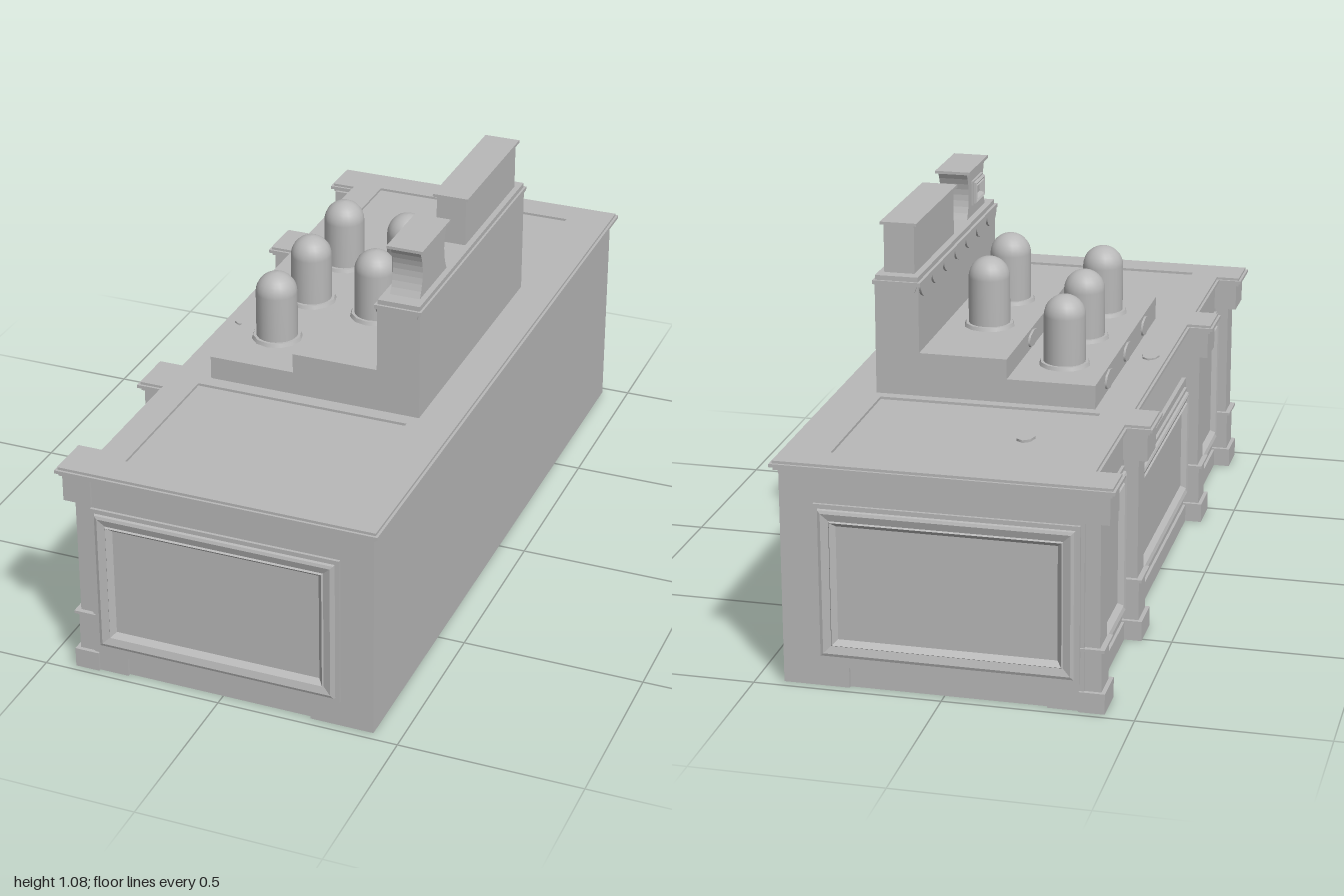
import * as THREE from 'three';

const grey = new THREE.MeshStandardMaterial({ color: 0xb8b8b8 });
grey.name = 'plain grey';

export function createModel() {
  const model = new THREE.Group();
  model.name = 'shopCounter';

  const add = (name, geo) => {
    const m = new THREE.Mesh(geo, grey);
    m.name = name;
    model.add(m);
    return m;
  };
  // Box given by its limits on each axis
  const box = (name, x0, x1, y0, y1, z0, z1) => {
    const m = add(name, new THREE.BoxGeometry(x1 - x0, y1 - y0, z1 - z0));
    m.position.set((x0 + x1) / 2, (y0 + y1) / 2, (z0 + z1) / 2);
    return m;
  };

  // Moulded panel facing +z: nested rectangles following [inset, depth] steps
  const moulding = [[0, 0], [0, 0.008], [0.012, 0.008], [0.014, 0.015], [0.022, 0.018],
    [0.042, 0.012], [0.045, 0.017], [0.058, 0.002]];
  const panel = (name, w, h, scale = 1) => {
    const rings = moulding.map(([i, d]) => {
      const a = w / 2 - i * scale, b = h / 2 - i * scale;
      return [[-a, -b, d], [a, -b, d], [a, b, d], [-a, b, d]];
    });
    const pos = [];
    const quad = (a, b, c, d) => pos.push(...a, ...b, ...c, ...a, ...c, ...d);
    for (let r = 0; r + 1 < rings.length; r++) {
      for (let k = 0; k < 4; k++) {
        const n = (k + 1) % 4;
        quad(rings[r][k], rings[r][n], rings[r + 1][n], rings[r + 1][k]);
      }
    }
    quad(...rings[rings.length - 1]);
    const geo = new THREE.BufferGeometry();
    geo.setAttribute('position', new THREE.Float32BufferAttribute(pos, 3));
    geo.computeVertexNormals();
    return add(name, geo);
  };

  // Hollow body: plain long wall and two panelled ends
  box('longWall', 0.413, 0.425, 0, 0.59, -0.975, 0.975);
  for (const s of [1, -1]) {
    const end = (name, x0, x1, y0, y1, out) =>
      box(name, x0, x1, y0, y1, Math.min(s * 0.955, s * out), Math.max(s * 0.955, s * out));
    end('endWall', -0.365, 0.424, 0.055, 0.59, 0.975);
    end('endFoot', -0.365, -0.27, 0, 0.055, 0.975);
    end('endFoot', 0.25, 0.424, 0, 0.055, 0.975);
    end('endKickBoard', -0.27, 0.25, 0, 0.055, 0.966);
    const p = panel('endPanel', 0.69, 0.425);
    p.position.set(-0.01, 0.288, s * 0.975);
    if (s < 0) p.rotation.y = Math.PI;
  }

  // Serving side: three panelled bays, the middle one open above
  for (const [z0, z1, top, p0, p1] of [[-0.9, -0.5, 0.59, 0.085, 0.5],
    [-0.42, 0.4, 0.44, 0.085, 0.42], [0.475, 0.9, 0.59, 0.085, 0.5]]) {
    box('bayWall', -0.365, -0.353, 0, top, z0, z1);
    box('baySkirting', -0.373, -0.36, 0, 0.05, z0, z1);
    const p = panel('bayPanel', z1 - z0 - 0.06, p1 - p0, 0.8);
    p.position.set(-0.365, (p0 + p1) / 2, (z0 + z1) / 2);
    p.rotation.y = -Math.PI / 2;
  }

  // Pilasters with base, collar and capital
  for (const z of [-0.927, -0.457, 0.437, 0.927]) {
    const block = (name, x, y0, y1, half) => box(name, x, -0.352, y0, y1, z - half, z + half);
    block('pilasterBase', -0.42, 0, 0.055, 0.055);
    block('pilasterFoot', -0.409, 0.055, 0.165, 0.044);
    block('pilasterCollar', -0.418, 0.165, 0.173, 0.053);
    block('pilasterShaft', -0.404, 0.173, 0.51, 0.04);
    block('pilasterCapital', -0.43, 0.51, 0.588, 0.056);
  }

  // Worktop outline, stepping out over each pilaster
  const outline = (o) => {
    const pts = [[0.435 + o, 0.99 + o], [0.435 + o, -0.99 - o]];
    const bumps = [[-0.99, -0.88], [-0.52, -0.395], [0.375, 0.5], [0.87, 0.99]];
    bumps.forEach(([a, b], i) => {
      const xi = -0.37 - o, xo = -0.437 - o;
      if (i > 0) pts.push([xi, a - o]);
      pts.push([xo, a - o], [xo, b + o]);
      if (i < 3) pts.push([xi, b + o]);
    });
    return new THREE.Shape(pts.map(([x, z]) => new THREE.Vector2(x, -z)));
  };
  const slab = (name, shape, y0, y1) => {
    const geo = new THREE.ExtrudeGeometry(shape, { depth: y1 - y0, bevelEnabled: false });
    geo.rotateX(-Math.PI / 2);
    add(name, geo).position.y = y0;
  };
  slab('worktopMoulding', outline(0), 0.585, 0.594);
  slab('worktopEdge', outline(0.008), 0.594, 0.603);
  const surface = outline(0.001);
  // Shallow trays sunk in the worktop beside the display
  for (const s of [1, -1]) {
    surface.holes.push(new THREE.Path([[-0.29, 0.45], [0.31, 0.45], [0.31, 0.9], [-0.29, 0.9]]
      .map(([x, z]) => new THREE.Vector2(x, s * z))));
  }
  slab('worktopSurface', surface, 0.603, 0.61);

  // Rounded hatches on the worktop
  for (const [x, y, z] of [[-0.325, 0.608, 0.06], [-0.14, 0.603, -0.66]]) {
    const hatch = add('worktopHatch', new THREE.CylinderGeometry(0.025, 0.025, 0.007, 8));
    hatch.scale.z = 1.6;
    hatch.position.set(x, y + 0.0035, z);
  }

  // Stepped display
  box('lowerStep', -0.27, -0.03, 0.6, 0.675, -0.42, 0.41);
  box('middleStep', -0.03, 0.21, 0.6, 0.73, -0.42, 0.41);
  box('backStep', 0.21, 0.33, 0.6, 0.92, -0.42, 0.41);
  box('cornice', 0.204, 0.335, 0.914, 0.925, -0.425, 0.417);
  box('corniceCap', 0.212, 0.329, 0.925, 0.938, -0.418, 0.41);

  // Labels on the step fronts
  const label = (x, y, z, r, wide) => {
    const m = add('stepLabel', new THREE.CylinderGeometry(r, r, 0.008, 8));
    m.rotation.z = Math.PI / 2;
    m.scale.z = wide;
    m.position.set(x, y, z);
  };
  for (const z of [-0.255, -0.01, 0.235]) label(-0.272, 0.642, z, 0.026, 1.9);
  for (const z of [-0.13, 0.115]) label(-0.032, 0.702, z, 0.022, 2.4);

  // Scalloped trim under the cornice
  const scallop = (x, z, r, turn) => {
    const geo = new THREE.CylinderGeometry(r, r, 0.008, 16, 1, false, -Math.PI / 2, Math.PI);
    geo.rotateX(Math.PI / 2);
    geo.scale(1, 0.72, 1);
    const m = add('scallop', geo);
    m.position.set(x, 0.916, z);
    m.rotation.y = turn;
  };
  for (let i = 0; i < 7; i++) scallop(0.208, -0.361 + i * 0.1186, 0.055, -Math.PI / 2);
  scallop(0.27, 0.412, 0.056, 0);
  scallop(0.27, -0.422, 0.056, Math.PI);

  // Glass-style domes on round bases
  const dome = (x, y, z) => {
    const r = 0.057, h = 0.195;
    const pts = [new THREE.Vector2(r, 0.008)];
    for (let i = 0; i <= 8; i++) {
      const a = i / 8 * Math.PI / 2;
      pts.push(new THREE.Vector2(Math.max(r * Math.cos(a), 0), h - r + r * Math.sin(a)));
    }
    add('dome', new THREE.LatheGeometry(pts, 20)).position.set(x, y, z);
    add('domeBase', new THREE.CylinderGeometry(0.066, 0.07, 0.01, 12)).position.set(x, y + 0.005, z);
  };
  for (const z of [-0.255, -0.01, 0.235]) dome(-0.15, 0.675, z);
  for (const z of [-0.13, 0.115]) dome(0.09, 0.73, z);

  // Long box on the back step
  box('longBox', 0.23, 0.313, 0.93, 1.07, -0.385, 0.022);
  box('longBoxLid', 0.221, 0.321, 1.07, 1.078, -0.393, 0.03);

  // Waisted box with a plaque
  const waist = new THREE.Shape();
  waist.moveTo(-0.1, 0);
  waist.lineTo(0.1, 0);
  waist.quadraticCurveTo(0.06, 0.07, 0.1, 0.132);
  waist.lineTo(-0.1, 0.132);
  waist.quadraticCurveTo(-0.06, 0.07, -0.1, 0);
  const waisted = new THREE.ExtrudeGeometry(waist, { depth: 0.083, bevelEnabled: false, curveSegments: 8 });
  waisted.rotateY(-Math.PI / 2);
  add('waistedBox', waisted).position.set(0.313, 0.938, 0.268);
  box('waistedBoxLid', 0.221, 0.321, 1.07, 1.078, 0.163, 0.373);
  const plaque = panel('plaque', 0.11, 0.07, 0.35);
  plaque.scale.z = 0.8;
  plaque.rotation.y = -Math.PI / 2;
  plaque.position.set(0.229, 1.005, 0.268);

  return model;
}
